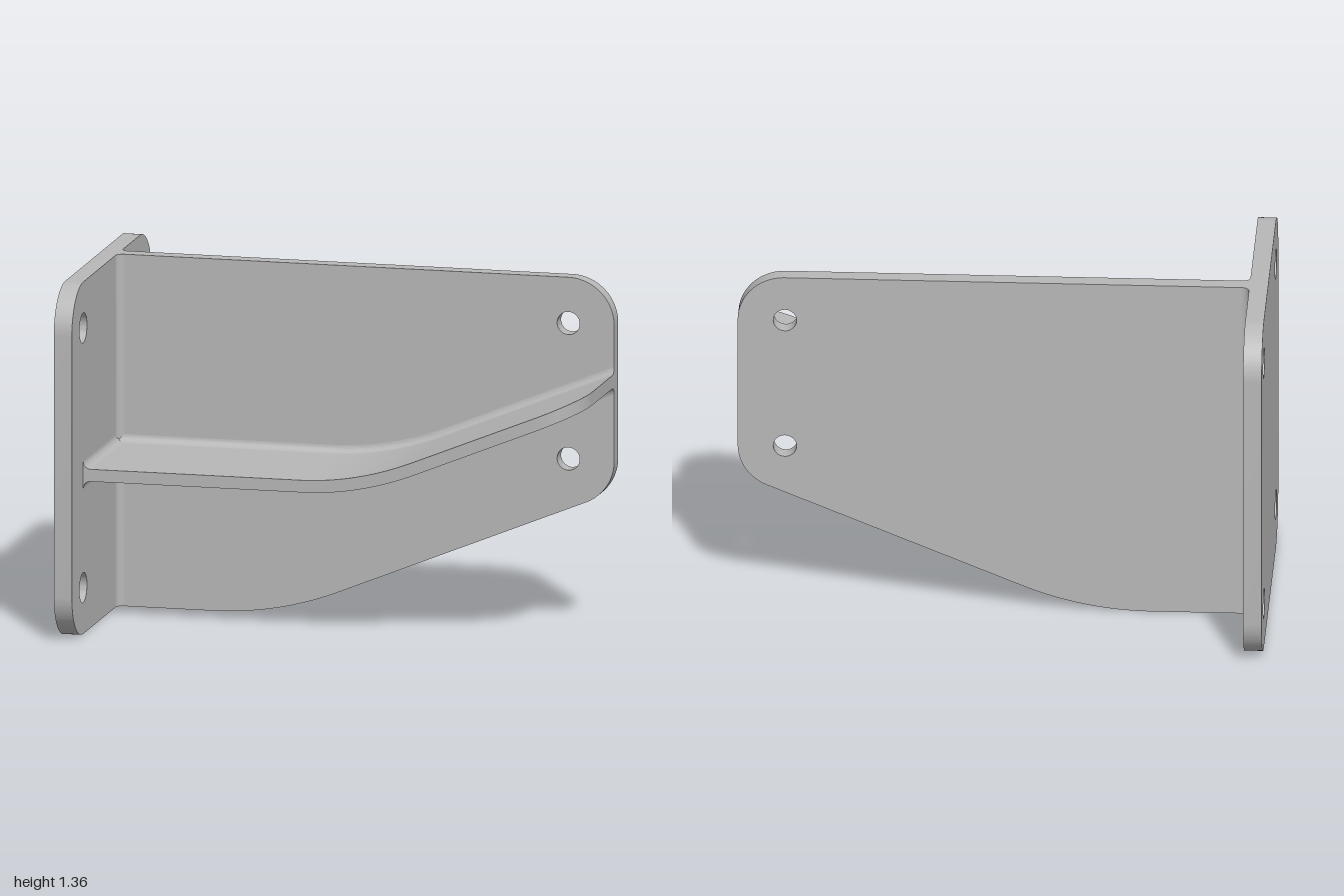
import * as THREE from 'three';
import { toCreasedNormals } from 'three/addons/utils/BufferGeometryUtils.js';

const PLATE_X = -0.93, WEB_BACK = -0.15, WEB_FRONT = -0.088, HEIGHT = 1.355;
const R = 0.178, FILLET = 0.028;

// Solid through matching closed cross-sections, with fan caps from each first point
function loft(sections) {
  const n = sections[0].length, last = sections.length - 1;
  const p = sections.flat(), index = [];
  for (let i = 0; i < last; i++) {
    for (let j = 0; j < n; j++) {
      const a = i * n + j, b = i * n + (j + 1) % n;
      index.push(a, b, b + n, a, b + n, a + n);
    }
  }
  for (let j = 1; j < n - 1; j++) {
    index.push(0, j + 1, j, last * n, last * n + j, last * n + j + 1);
  }
  // Turn the faces outward if the enclosed volume comes out negative
  const v = p.map((q) => new THREE.Vector3(...q));
  let volume = 0;
  for (let i = 0; i < index.length; i += 3) {
    volume += v[index[i]].dot(v[index[i + 1]].clone().cross(v[index[i + 2]]));
  }
  if (volume < 0) index.reverse();
  const g = new THREE.BufferGeometry().setFromPoints(v);
  g.setIndex(index);
  return toCreasedNormals(g, 0.5);
}

// Concave fillet section: inner corner, then an arc between the two walls
function filletSection(u, v, su, sv, place) {
  const pts = [place(u, v)];
  for (let i = 0; i <= 6; i++) {
    const a = (i / 6) * Math.PI / 2;
    pts.push(place(u + su * FILLET * (1 - Math.sin(a)), v + sv * FILLET * (1 - Math.cos(a))));
  }
  return pts;
}

function addHole(shape, x, y, r) {
  const hole = new THREE.Path();
  hole.absarc(x, y, r, 0, Math.PI * 2, true);
  shape.holes.push(hole);
}

function extrude(shape, depth) {
  const g = new THREE.ExtrudeGeometry(shape, { depth, bevelEnabled: false, curveSegments: 20 });
  return toCreasedNormals(g, 0.5);
}

// Flat, then a smooth bend, then a straight incline
function bend(x, start, end, slope) {
  if (x <= start) return 0;
  if (x >= end) return slope * (x - (start + end) / 2);
  return slope * (x - start) ** 2 / (2 * (end - start));
}
const flangeTop = (x) => 0.635 + bend(x, -0.09, 0.35, 0.41);
const flangeBottom = (x) => 0.588 + bend(x, -0.08, 0.36, 0.41);
const flangeFront = (x) => (x <= 0.82 ? 0.44 : 0.26 + Math.sqrt(Math.max(0, 0.18 ** 2 - (x - 0.82) ** 2)));

export function createModel() {
  const group = new THREE.Group();
  const steel = new THREE.MeshStandardMaterial({ color: 0xb8b8b8 });
  steel.name = 'grey steel';
  const add = (name, geometry) => {
    const mesh = new THREE.Mesh(geometry, steel);
    mesh.name = name;
    group.add(mesh);
    return mesh;
  };

  // Mounting plate with rounded corners and four bolt holes
  const W = 0.617;
  const plate = new THREE.Shape();
  plate.absarc(W - R, R, R, -Math.PI / 2, 0);
  plate.absarc(W - R, HEIGHT - R, R, 0, Math.PI / 2);
  plate.absarc(-W + R, HEIGHT - R, R, Math.PI / 2, Math.PI);
  plate.absarc(-W + R, R, R, Math.PI, Math.PI * 1.5);
  for (const x of [-0.44, 0.44]) for (const y of [0.178, 1.178]) addHole(plate, x, y, 0.058);
  const plateMesh = add('mountingPlate', extrude(plate, PLATE_X + 1));
  plateMesh.rotation.y = Math.PI / 2;
  plateMesh.position.x = -1;

  // Upright web with a curved lower edge and two holes at its free end
  const tilt = Math.atan(0.41);
  const web = new THREE.Shape();
  web.moveTo(PLATE_X, 0);
  web.lineTo(-0.56, 0);
  web.quadraticCurveTo(-0.305, 0, -0.07, 0.097);
  web.absarc(1 - R, 0.656, R, -Math.PI / 2 + tilt, 0);
  web.absarc(1 - R, HEIGHT - R, R, 0, Math.PI / 2);
  web.lineTo(PLATE_X, HEIGHT);
  for (const y of [0.656, 1.178]) addHole(web, 1 - R, y, 0.044);
  add('web', extrude(web, WEB_FRONT - WEB_BACK)).position.z = WEB_BACK;

  // Bent flange with a rounded outer corner
  const xs = [PLATE_X];
  for (let i = 0; i <= 20; i++) xs.push(-0.1 + i * 0.024);
  for (let i = 0; i <= 14; i++) xs.push(0.82 + 0.18 * Math.sin((i / 14) * Math.PI / 2));
  add('flange', loft(xs.map((x) => [
    [x, flangeTop(x), WEB_FRONT], [x, flangeTop(x), flangeFront(x)],
    [x, flangeBottom(x), flangeFront(x)], [x, flangeBottom(x), WEB_FRONT],
  ])));

  // Fillets between flange and web, and between flange and plate
  for (const [side, height, up] of [['upper', flangeTop, 1], ['lower', flangeBottom, -1]]) {
    add(side + 'FlangeWebFillet', loft(xs.map((x) =>
      filletSection(height(x), WEB_FRONT, up, 1, (y, z) => [x, y, z]))));
    add(side + 'FlangePlateFillet', loft([WEB_FRONT, 0.44].map((z) =>
      filletSection(PLATE_X, height(PLATE_X), 1, up, (x, y) => [x, y, z]))));
  }

  // Fillets between web and plate
  for (const [side, z0, dir] of [['front', WEB_FRONT, 1], ['back', WEB_BACK, -1]]) {
    add(side + 'WebPlateFillet', loft([0, HEIGHT].map((y) =>
      filletSection(PLATE_X, z0, 1, dir, (x, z) => [x, y, z]))));
  }
  return group;
}
